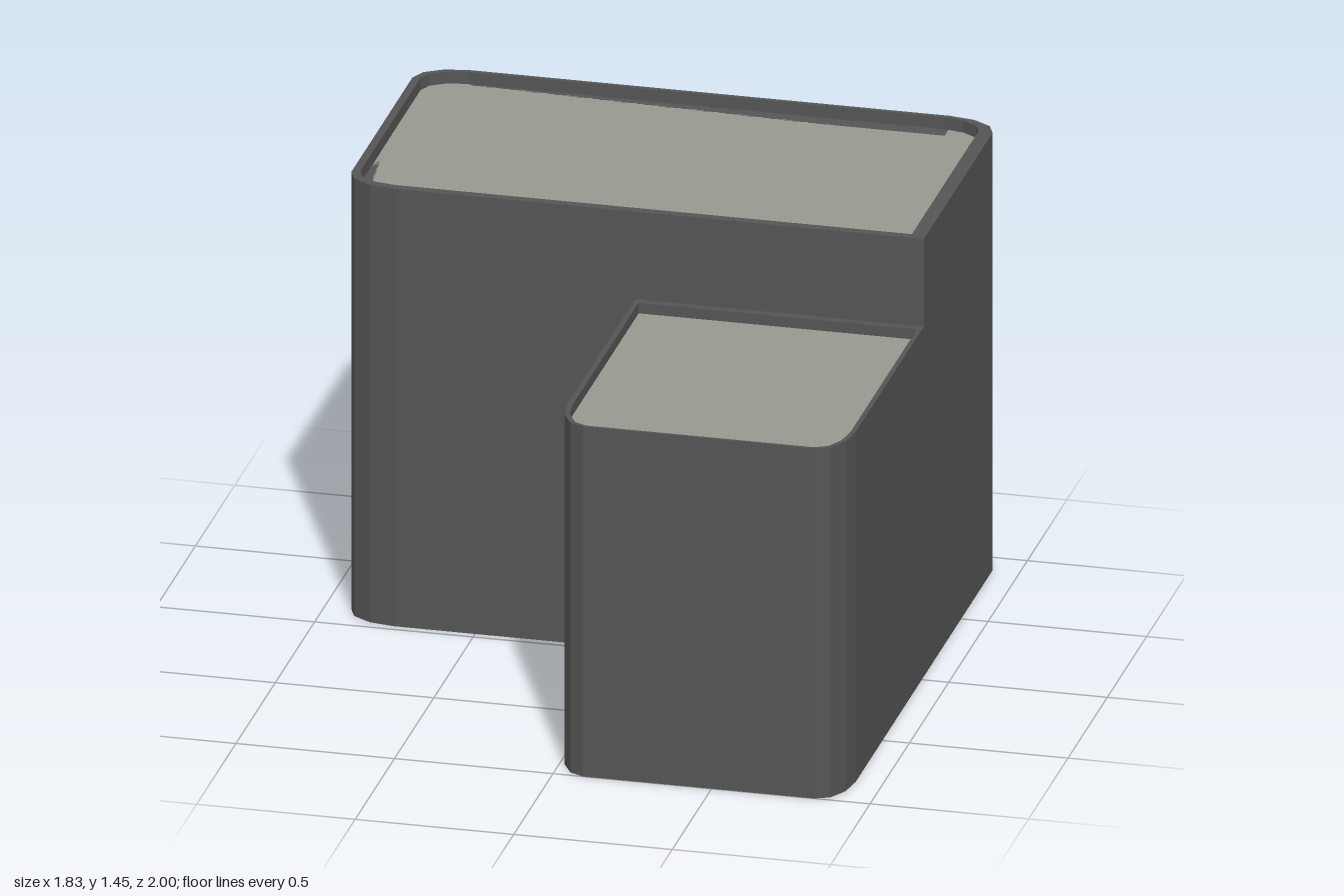
import * as THREE from 'three';

const wallMat = new THREE.MeshStandardMaterial({ name: 'dark grey wall', color: 0x555555 });
const roofMat = new THREE.MeshStandardMaterial({ name: 'pale grey roof', color: 0x989890 });
const glassMat = new THREE.MeshStandardMaterial({ name: 'teal glass', color: 0x255358 });

// Rectangle with elliptical corners, counter-clockwise from lower left; a corner is [rx, ry] or 0
function roundedRect(x0, x1, y0, y1, corners, steps = 3) {
  const points = [];
  corners.forEach((corner, k) => {
    const right = k === 1 || k === 2, top = k > 1;
    const [rx, ry] = corner || [0, 0];
    const cx = right ? x1 - rx : x0 + rx;
    const cy = top ? y1 - ry : y0 + ry;
    for (let i = 0; i <= (corner ? steps : 0); i++) {
      const t = Math.PI + (k + i / steps) * Math.PI / 2;
      points.push(new THREE.Vector2(cx + rx * Math.cos(t), cy + ry * Math.sin(t)));
    }
  });
  return points;
}

function shapeOf(points, holes = []) {
  const shape = new THREE.Shape(points);
  shape.holes = holes.map((h) => new THREE.Path(h));
  return shape;
}

function add(parent, name, geometry, material) {
  const mesh = new THREE.Mesh(geometry, material);
  mesh.name = name;
  parent.add(mesh);
  return mesh;
}

// Plan outline (x, -z) raised between two heights
function raise(points, y0, y1, holes) {
  const geo = new THREE.ExtrudeGeometry(shapeOf(points, holes), { depth: y1 - y0, bevelEnabled: false });
  return geo.rotateX(-Math.PI / 2).translate(0, y0, 0);
}

// Upright outer faces along a plan outline, leaving out the listed edges
function skin(points, y0, y1, skip) {
  const pos = [];
  points.forEach((a, i) => {
    if (skip.includes(i)) return;
    const b = points[(i + 1) % points.length];
    const quad = [[a, y0], [b, y0], [b, y1], [a, y0], [b, y1], [a, y1]];
    quad.forEach(([p, y]) => pos.push(p.x, y, -p.y));
  });
  const geo = new THREE.BufferGeometry();
  geo.setAttribute('position', new THREE.Float32BufferAttribute(pos, 3));
  geo.computeVertexNormals();
  return geo;
}

// Wall panel with two recessed windows either side of a mullion; its face lies at local z = 0
function windowWall(name, width, reach, y0, y1) {
  const wall = new THREE.Group();
  wall.name = name;
  const depth = 0.065, r = [0.05, 0.05];
  const holes = [
    roundedRect(-reach, -0.05, 0.06, 1.385, [r, 0, 0, r]),
    roundedRect(0.05, reach, 0.06, 1.385, [0, r, r, 0]),
  ];
  const outline = roundedRect(-width / 2, width / 2, y0, y1, [0, 0, 0, 0]);
  const panel = new THREE.ExtrudeGeometry(shapeOf(outline, holes), { depth, bevelEnabled: false });
  add(wall, 'windowFrame', panel.translate(0, 0, -depth), wallMat);
  holes.forEach((h) => {
    add(wall, 'windowGlass', new THREE.ShapeGeometry(shapeOf(h)).translate(0, 0, -depth), glassMat);
  });
  return wall;
}

export function createModel() {
  const model = new THREE.Group();
  model.name = 'building';

  // Tall rear block
  const rear = new THREE.Group();
  rear.name = 'rearBlock';
  model.add(rear);
  const c = [0.16, 0.1], ci = [0.13, 0.085];
  const outline = roundedRect(-0.915, 0.915, 0.025, 1, [c, 0, c, c]);
  const inner = roundedRect(-0.89, 0.87, 0.055, 0.985, [ci, 0, ci, ci]);
  const base = 0.01, deck = 1.41, top = 1.45;
  add(rear, 'rearFloor', raise(outline, 0, base), wallMat);
  add(rear, 'rearWalls', skin(outline, base, deck, [8, 12]), wallMat);
  add(rear, 'rearParapet', raise(outline, deck, top, [inner]), wallMat);
  add(rear, 'rearRoof', raise(inner, deck - 0.005, deck), roofMat);

  // Windows on the back and on the right-hand wall
  const back = windowWall('backWindows', 1.51, 0.725, base, deck);
  back.rotation.y = Math.PI;
  back.position.z = -1;
  const side = windowWall('sideWindows', 0.775, 0.335, base, deck);
  side.rotation.y = -Math.PI / 2;
  side.position.set(-0.915, 0, -0.5125);
  rear.add(back, side);

  // Lower front block
  const front = new THREE.Group();
  front.name = 'frontBlock';
  model.add(front);
  const f = [0.09, 0.16], fi = [0.08, 0.15];
  const frontOutline = roundedRect(0.005, 0.915, -1, 0.025, [f, f, 0, 0]);
  const frontInner = roundedRect(0.022, 0.9, -0.99, 0, [fi, fi, 0, 0]);
  add(front, 'frontWalls', raise(frontOutline, 0, 1.12), wallMat);
  add(front, 'frontParapet', raise(frontOutline, 1.12, 1.16, [frontInner]), wallMat);
  add(front, 'frontRoof', raise(frontInner, 1.12, 1.125), roofMat);

  // Door slab on the front block, with rounded upper corners
  const d = [0.025, 0.025];
  const doorShape = shapeOf(roundedRect(-0.24, 0.24, 0, 0.82, [0, 0, d, d]));
  const door = add(model, 'door',
    new THREE.ExtrudeGeometry(doorShape, { depth: 0.04, bevelEnabled: false }), wallMat);
  door.rotation.y = -Math.PI / 2;
  door.position.set(0.02, 0, 0.44);

  return model;
}
